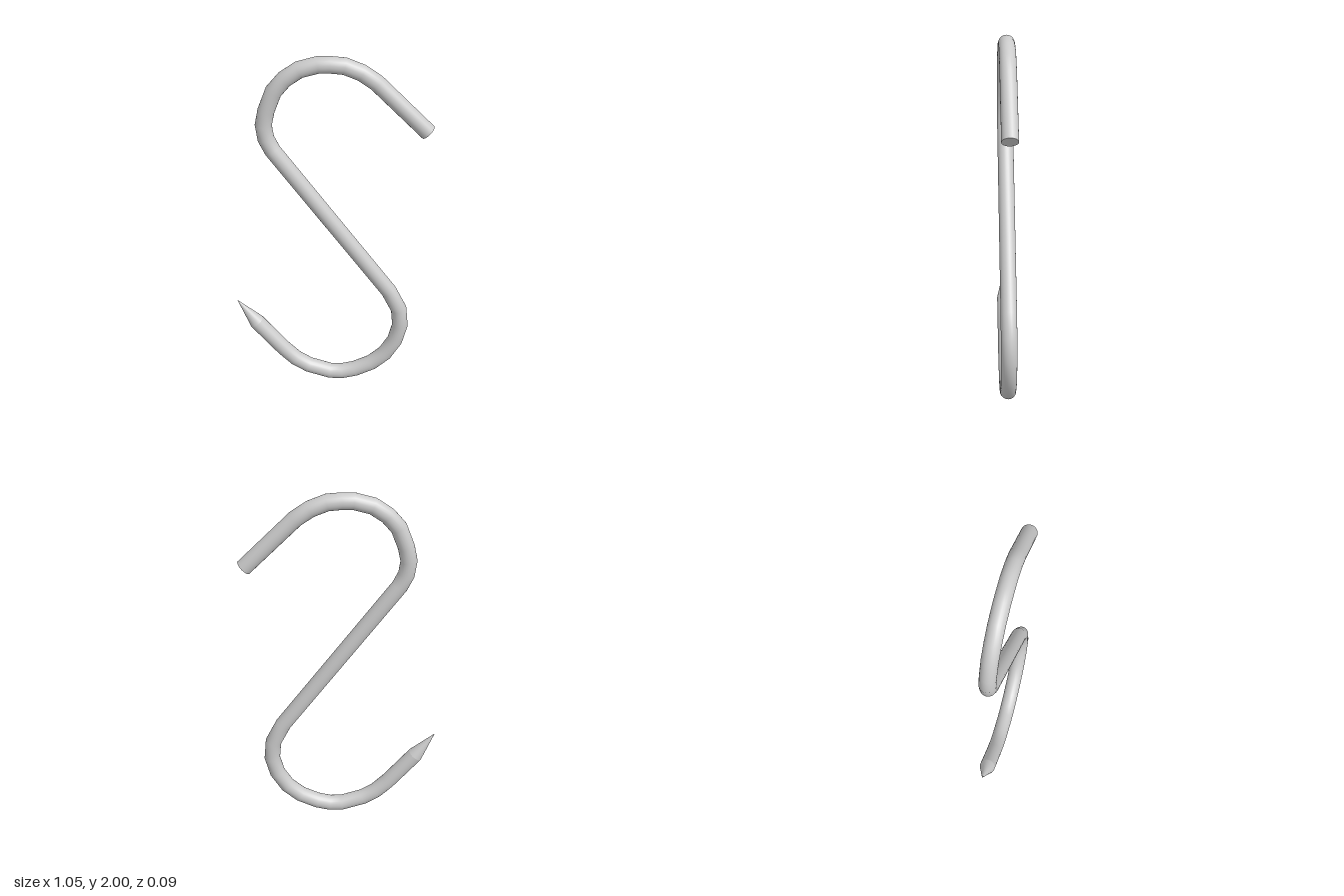
import * as THREE from 'three';

const RADIUS = 0.043;
const SIDES = 24;

// Centre line in the x-y plane, from the blunt end to the sharp tip
const PATH = [
  [0.49, 1.597], [0.225, 1.865], [0.15, 1.918], [0.066, 1.952], [-0.008, 1.958], [-0.066, 1.957],
  [-0.161, 1.929], [-0.235, 1.876], [-0.291, 1.808], [-0.331, 1.70], [-0.347, 1.62], [-0.336, 1.542],
  [-0.304, 1.474], [0.315, 0.614], [0.373, 0.495], [0.383, 0.384], [0.357, 0.278], [0.302, 0.183],
  [0.228, 0.114], [0.135, 0.066], [0.061, 0.046], [-0.008, 0.046], [-0.13, 0.085], [-0.204, 0.132],
  [-0.272, 0.201], [-0.42, 0.382], [-0.525, 0.527],
].map(([x, y]) => new THREE.Vector3(x, y, 0));
const SHOULDER = PATH.length - 2;

// Tangent and mitre stretch at a point of the centre line
function frame(i) {
  const a = PATH[Math.max(i - 1, 0)], p = PATH[i], b = PATH[Math.min(i + 1, PATH.length - 1)];
  const before = p.clone().sub(a).normalize(), after = b.clone().sub(p).normalize();
  const t = before.clone().add(after).normalize();
  const stretch = 1 / Math.max(t.dot(after), t.dot(before));
  return { t, n: new THREE.Vector3(-t.y, t.x, 0).multiplyScalar(stretch) };
}

// Round skin along part of the centre line
function sweep(from, to, radiusAt) {
  const pos = [], idx = [];
  for (let i = from; i <= to; i++) {
    const { n } = frame(i), r = radiusAt(i);
    for (let j = 0; j < SIDES; j++) {
      const a = (j / SIDES) * Math.PI * 2;
      const c = r * Math.cos(a);
      pos.push(PATH[i].x + n.x * c, PATH[i].y + n.y * c, r * Math.sin(a));
    }
  }
  for (let i = 0; i < to - from; i++) {
    for (let j = 0; j < SIDES; j++) {
      const k = (j + 1) % SIDES, lo = i * SIDES, hi = lo + SIDES;
      idx.push(lo + j, lo + k, hi + j, lo + k, hi + k, hi + j);
    }
  }
  const g = new THREE.BufferGeometry();
  g.setAttribute('position', new THREE.Float32BufferAttribute(pos, 3));
  g.setIndex(idx);
  g.computeVertexNormals();
  return g;
}

export function createModel() {
  const group = new THREE.Group();
  group.name = 'sHook';
  const material = new THREE.MeshStandardMaterial({ color: 0xcccccc });
  const add = (name, geometry) => {
    const mesh = new THREE.Mesh(geometry, material);
    mesh.name = name;
    group.add(mesh);
    return mesh;
  };

  // Bent rod
  add('rod', sweep(0, SHOULDER, () => RADIUS));

  // Conical point
  add('point', sweep(SHOULDER, SHOULDER + 1, (i) => (i === SHOULDER ? RADIUS : 0)));

  // Flat cut at the blunt end
  const cap = add('bluntEnd', new THREE.CircleGeometry(RADIUS, SIDES));
  cap.position.copy(PATH[0]);
  cap.quaternion.setFromUnitVectors(new THREE.Vector3(0, 0, 1), frame(0).t.negate());

  return group;
}
